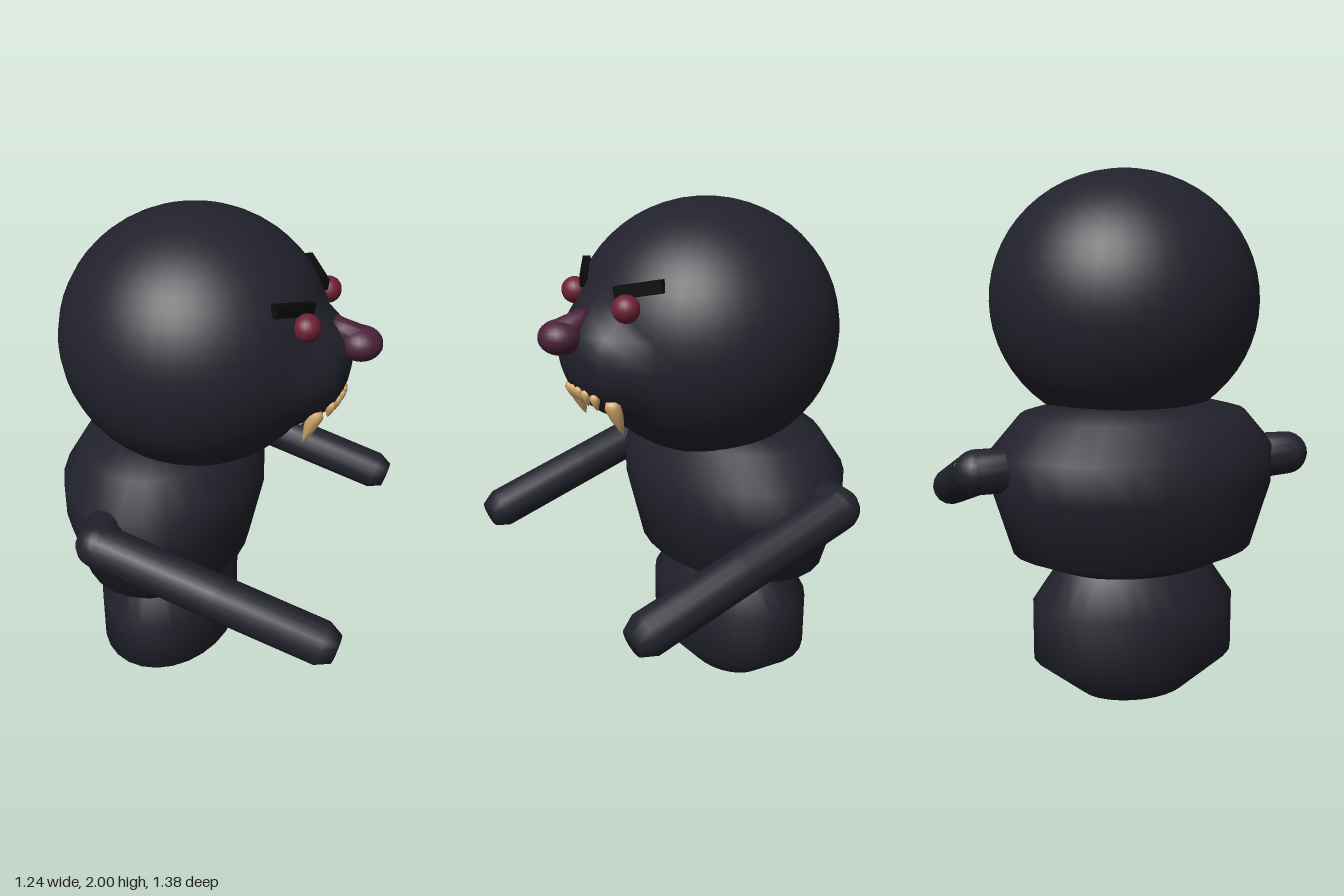
import * as THREE from 'three';
import { mergeVertices } from 'three/addons/utils/BufferGeometryUtils.js';

const mat = (name, color) => {
  const m = new THREE.MeshStandardMaterial({ color });
  m.name = name;
  return m;
};
const V = (x, y, z) => new THREE.Vector3(x, y, z);

// Head ellipsoid with a soft muzzle bulge facing +x
const HEAD = { x: -0.1, y: 1.51, rx: 0.515, ry: 0.49, rz: 0.515 };
const bulge = (y, z) => {
  const d2 = (z / 0.27) ** 2 + ((y - 1.44) / 0.22) ** 2;
  return 0.085 * Math.max(0, 1 - d2 * d2);
};
const faceX = (y, z) => HEAD.x + bulge(y, z) +
  HEAD.rx * Math.sqrt(Math.max(0, 1 - ((y - HEAD.y) / HEAD.ry) ** 2 - (z / HEAD.rz) ** 2));

function headGeometry() {
  let g = new THREE.SphereGeometry(1, 40, 28);
  g.scale(HEAD.rx, HEAD.ry, HEAD.rz).translate(HEAD.x, HEAD.y, 0);
  g.deleteAttribute('uv');
  g.deleteAttribute('normal');
  g = mergeVertices(g, 1e-4);
  const p = g.attributes.position;
  for (let i = 0; i < p.count; i++) {
    if (p.getX(i) > HEAD.x + 0.1) p.setX(i, p.getX(i) + bulge(p.getY(i), p.getZ(i)));
  }
  g.computeVertexNormals();
  return g;
}

const lathe = (pts, seg) =>
  new THREE.LatheGeometry(pts.map(([r, y]) => new THREE.Vector2(r, y)), seg);

export function createModel() {
  const root = new THREE.Group();
  root.name = 'creature';
  const skin = mat('darkSkin', 0x22222d);
  const red = mat('eyeRed', 0x6e2136);
  const plum = mat('nosePlum', 0x4a2138);
  const black = mat('browBlack', 0x0a0a0b);
  const ivory = mat('toothIvory', 0xd9ad70);

  const add = (name, geo, material, parent = root) => {
    const m = new THREE.Mesh(geo, material);
    m.name = name;
    parent.add(m);
    return m;
  };
  // Point a mesh's y axis from a towards b, with its origin at a
  const aim = (mesh, a, b) => {
    mesh.position.copy(a);
    mesh.quaternion.setFromUnitVectors(V(0, 1, 0), b.clone().sub(a).normalize());
    return mesh;
  };

  // Body: oval lathes for hips and torso
  const hips = add('hips', lathe([[0, 0], [0.15, 0], [0.283, 0.15], [0.283, 0.37], [0.215, 0.51], [0.2, 0.54]], 28), skin);
  const torso = add('torso', lathe([[0, 0.5], [0.215, 0.51], [0.335, 0.58], [0.39, 0.83], [0.39, 0.97],
    [0.31, 1.1], [0.2, 1.14], [0, 1.15]], 28), skin);
  for (const part of [hips, torso]) {
    part.position.x = -0.23;
    part.scale.z = 1.4;
  }

  add('head', headGeometry(), skin);

  // Nose: ball tip with a tapered bridge
  const nose = new THREE.Group();
  nose.name = 'nose';
  root.add(nose);
  const tip = add('noseTip', new THREE.SphereGeometry(1, 20, 14), plum, nose);
  tip.scale.set(0.08, 0.064, 0.08);
  tip.position.set(0.525, 1.555, 0);
  const bridge = add('noseBridge', lathe([[0, 0], [0.036, 0], [0.042, 0.04], [0.06, 0.13], [0, 0.14]], 16), plum, nose);
  aim(bridge, V(0.415, 1.62, 0), V(0.53, 1.56, 0));

  for (const s of [1, -1]) {
    const side = s > 0 ? 'right' : 'left';

    // Eyes and slanted brows
    const eye = add(side + 'Eye', new THREE.SphereGeometry(0.05, 20, 14), red);
    eye.position.set(0.362, 1.672, s * 0.19);
    eye.scale.z = 1.08;
    const brow = add(side + 'Brow', new THREE.BoxGeometry(0.19, 0.045, 0.03), black);
    const along = V(0.1, -0.04, -s * 0.16).normalize();
    const out = V(0.16, 0, s * 0.1).normalize().multiplyScalar(s);
    const up = out.clone().cross(along).normalize();
    if (up.y < 0) { up.negate(); out.negate(); }
    brow.quaternion.setFromRotationMatrix(new THREE.Matrix4().makeBasis(along, up, along.clone().cross(up)));
    brow.position.set(0.312, 1.735, s * 0.197);

    // Arms: shoulder stub, round joint, long blunt forearm
    const arm = new THREE.Group();
    arm.name = side + 'Arm';
    root.add(arm);
    const joint = V(-0.285, 0.915, s * 0.608);
    const L = 0.93, r = 0.083;
    const forearm = add('forearm', lathe([[r, 0], [r, L / 2], [r, L - 0.055], [0.055, L], [0, L]], 16), skin, arm);
    aim(forearm, joint, V(0.6, 0.647, s * 0.608));
    add('shoulderJoint', new THREE.SphereGeometry(r, 16, 12), skin, arm).position.copy(joint);
    const stub = add('shoulder', lathe([[r, 0], [r, 0.18], [0, 0.18]], 16), skin, arm);
    aim(stub, joint, V(-0.3, 0.92, s * 0.43));
  }

  // Teeth: rounded cones hanging from the upper lip or rising from the lower
  const teeth = new THREE.Group();
  teeth.name = 'teeth';
  root.add(teeth);
  const tooth = (name, y, z, r, h, dir, lean = 0) => {
    const g = lathe([[0, -r * 0.6], [r * 0.7, -r * 0.4], [r, r * 0.2], [r * 0.75, h * 0.45], [r * 0.3, h * 0.85], [0, h]], 10);
    const a = V(faceX(y, z) - r * 0.2, y, z);
    aim(add(name, g, ivory, teeth), a, a.clone().add(V(lean, dir, 0)));
  };
  for (let i = 0; i < 6; i++) {
    const z = (i - 2.5) * 0.039;
    tooth('upperTooth', 1.358 - z * z * 1.5, z, 0.02, 0.055, -1, -0.2);
  }
  for (let i = 0; i < 8; i++) {
    const z = (i - 3.5) * 0.022;
    tooth('lowerTooth', 1.22 + z * z * 3, z, 0.012, 0.03, 1, 0.3);
  }
  for (const s of [1, -1]) tooth('fang', 1.32, s * 0.145, 0.032, 0.13, -1, -0.35);

  return root;
}
